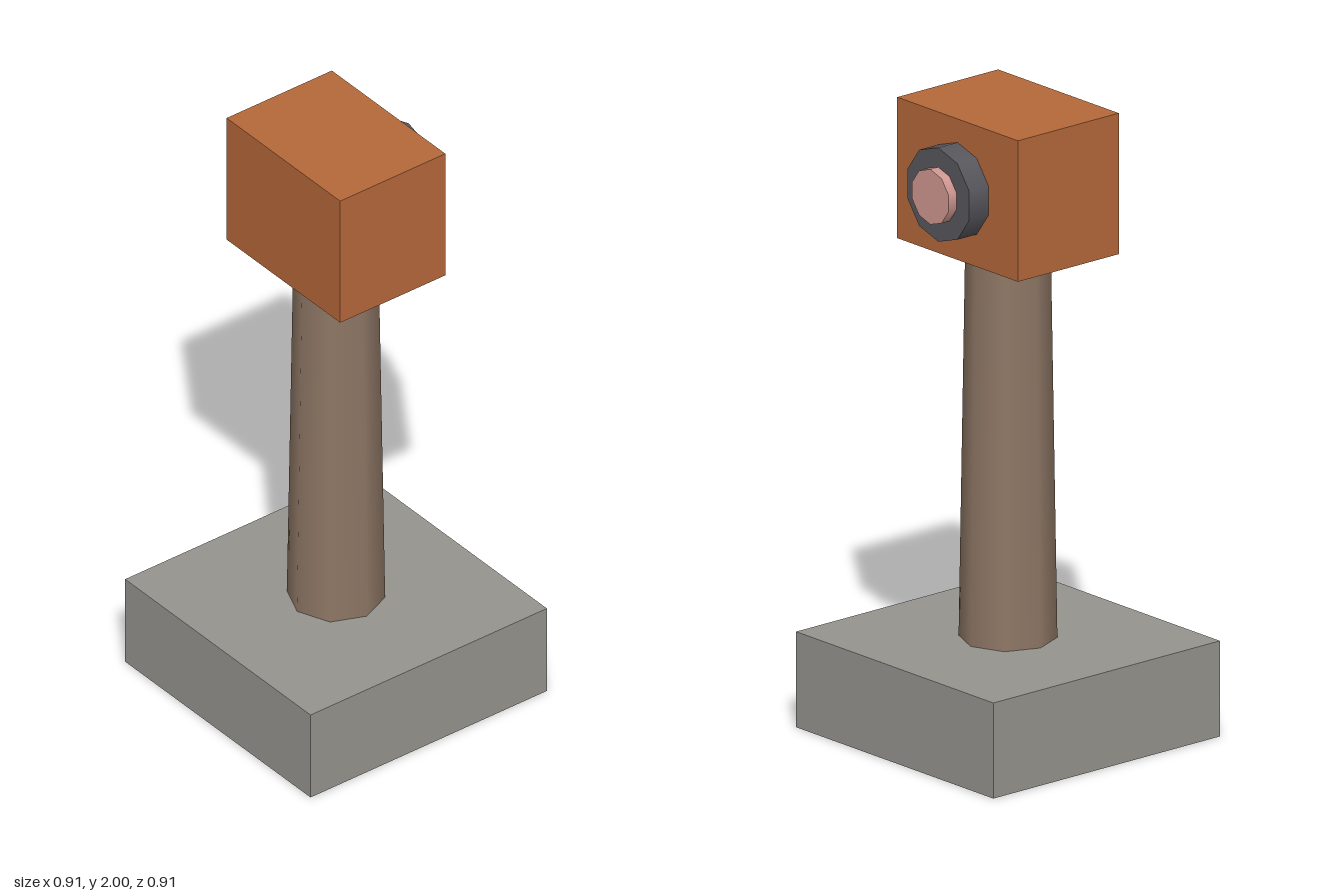
import * as THREE from 'three';

const material = (name, color) => {
  const m = new THREE.MeshStandardMaterial({ color });
  m.name = name;
  return m;
};

export function createModel() {
  const stone = material('stone grey', 0x95948e);
  const wood = material('weathered wood', 0x8e7765);
  const rust = material('rust orange', 0xb5683a);
  const iron = material('dark iron', 0x57565c);
  const pink = material('dusty pink', 0xd09891);

  const model = new THREE.Group();
  model.name = 'postWithHead';

  const add = (name, geometry, mat, y, z = 0) => {
    const mesh = new THREE.Mesh(geometry, mat);
    mesh.name = name;
    mesh.position.set(0, y, z);
    model.add(mesh);
    return mesh;
  };

  // Disc lying against the back of the head, between two z positions
  const disc = (name, radius, z0, z1, mat) =>
    add(name, new THREE.CylinderGeometry(radius, radius, z0 - z1, 10).rotateX(-Math.PI / 2),
      mat, 1.775, (z0 + z1) / 2);

  // Square plinth, tapered post and block head
  add('base', new THREE.BoxGeometry(0.91, 0.305, 0.91), stone, 0.1525);
  add('post', new THREE.CylinderGeometry(0.13, 0.15, 1.25, 8), wood, 0.93);
  add('head', new THREE.BoxGeometry(0.557, 0.45, 0.405), rust, 1.775);

  // Round fitting on the back
  disc('backRing', 0.15, -0.2, -0.28, iron);
  disc('backButton', 0.088, -0.27, -0.312, pink);

  return model;
}
